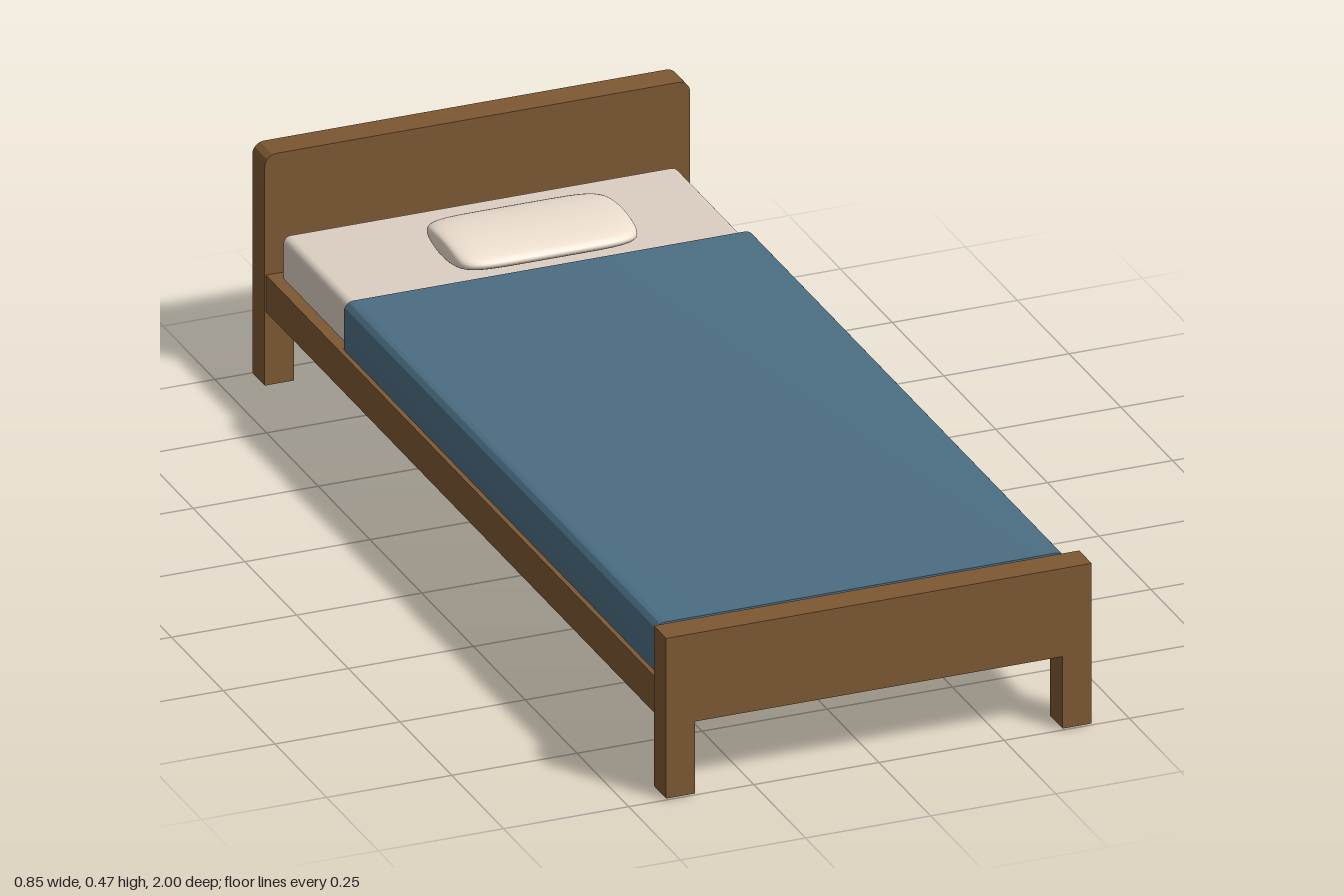
import * as THREE from 'three';
import { RoundedBoxGeometry } from 'three/addons/geometries/RoundedBoxGeometry.js';
import { toCreasedNormals } from 'three/addons/utils/BufferGeometryUtils.js';

const HALF_W = 0.425; // half width of the end boards
const RAIL_Y = 0.15; // underside of the frame

const wood = new THREE.MeshStandardMaterial({ color: 0x7d5833 });
const blue = new THREE.MeshStandardMaterial({ color: 0x4b6d82 });
const linen = new THREE.MeshStandardMaterial({ color: 0xdccfc2 });
const cream = new THREE.MeshStandardMaterial({ color: 0xecddce });

function part(name, geometry, material, x = 0, y = 0, z = 0) {
  const mesh = new THREE.Mesh(geometry, material);
  mesh.name = name;
  mesh.position.set(x, y, z);
  return mesh;
}

function extrude(shape, depth) {
  const geometry = new THREE.ExtrudeGeometry(shape, { depth, bevelEnabled: false, curveSegments: 8 });
  return toCreasedNormals(geometry, 0.6);
}

// Upright with optional rounded top corners; legs are cut out when legW > 0
function uprightShape(halfW, bottom, top, radius, legW = 0) {
  const s = new THREE.Shape();
  s.moveTo(-halfW, bottom);
  if (legW > 0) {
    s.lineTo(-halfW + legW, bottom);
    s.lineTo(-halfW + legW, RAIL_Y);
    s.lineTo(halfW - legW, RAIL_Y);
    s.lineTo(halfW - legW, bottom);
  }
  s.lineTo(halfW, bottom);
  s.lineTo(halfW, top - radius);
  if (radius > 0) s.absarc(halfW - radius, top - radius, radius, 0, Math.PI / 2, false);
  s.lineTo(-halfW + radius, top);
  if (radius > 0) s.absarc(-halfW + radius, top - radius, radius, Math.PI / 2, Math.PI, false);
  s.closePath();
  return s;
}

// Barrel with squarish ends, turned on its side and flattened
function pillowGeometry(halfX, halfY, halfZ) {
  const power = 6;
  const profile = [];
  for (let i = 0; i <= 40; i++) {
    const a = -Math.PI / 2 + (i / 40) * Math.PI;
    const c = Math.max(0, Math.cos(a));
    const s = Math.sin(a);
    profile.push(new THREE.Vector2(
      i === 0 || i === 40 ? 0 : Math.pow(c, 2 / power),
      Math.sign(s) * Math.pow(Math.abs(s), 2 / power)
    ));
  }
  const geometry = new THREE.LatheGeometry(profile, 40);
  geometry.rotateZ(-Math.PI / 2);
  geometry.scale(halfX, halfY, halfZ);
  return geometry;
}

export function createModel() {
  const bed = new THREE.Group();
  bed.name = 'singleBed';

  // End boards, each with its two legs
  bed.add(part('headboard', extrude(uprightShape(HALF_W, 0, 0.47, 0.024, 0.058), 0.06), wood, 0, 0, -1));
  bed.add(part('footboard', extrude(uprightShape(HALF_W, 0.003, 0.33, 0, 0.058), 0.06), wood, 0, 0, 0.94));

  // Solid frame between the boards
  bed.add(part('bedFrame', new THREE.BoxGeometry(0.845, 0.075, 1.88), wood, 0, 0.1875, 0));

  // Bedding
  bed.add(part('mattress', new RoundedBoxGeometry(0.79, 0.12, 1.855, 4, 0.015), linen, -0.003, 0.25, 0.001));
  bed.add(part('blanket', extrude(uprightShape(0.41, 0.222, 0.322, 0.02), 1.505), blue, -0.003, 0, -0.587));
  bed.add(part('pillow', pillowGeometry(0.182, 0.026, 0.11), cream, 0.018, 0.33, -0.72));

  return bed;
}
